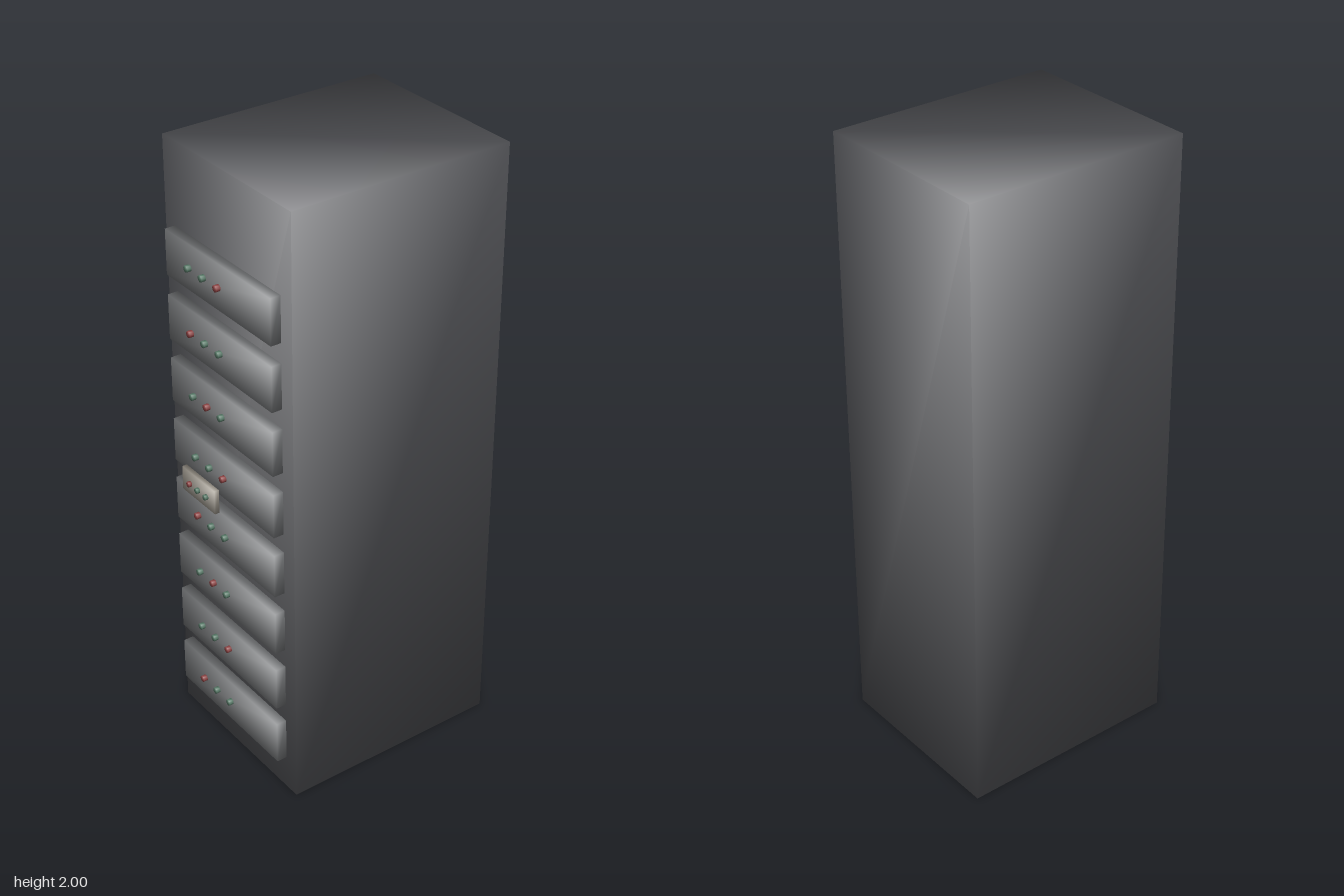
import * as THREE from 'three';
import { mergeVertices } from 'three/addons/utils/BufferGeometryUtils.js';

const mat = (color) => new THREE.MeshStandardMaterial({ color });

// Weld all corners so the normals blend across edges
function soften(geometry) {
  geometry.deleteAttribute('normal');
  geometry.deleteAttribute('uv');
  const g = mergeVertices(geometry);
  g.computeVertexNormals();
  return g;
}

// Box whose corner normals point diagonally outwards
function softBox(w, h, d) {
  const g = soften(new THREE.BoxGeometry(w, h, d));
  const p = g.attributes.position, n = g.attributes.normal;
  const s = 1 / Math.sqrt(3);
  for (let i = 0; i < p.count; i++) {
    n.setXYZ(i, Math.sign(p.getX(i)) * s, Math.sign(p.getY(i)) * s, Math.sign(p.getZ(i)) * s);
  }
  return g;
}

function add(parent, name, geometry, material, x, y, z) {
  const mesh = new THREE.Mesh(geometry, material);
  mesh.name = name;
  mesh.position.set(x, y, z);
  parent.add(mesh);
  return mesh;
}

export function createModel() {
  const model = new THREE.Group();
  model.name = 'serverRack';

  const cabinetMat = mat(0x55565a);
  const panelMat = mat(0x7a7c7e);
  const plateMat = mat(0xa19b90);
  const redMat = mat(0x8e4444);
  const greenMat = mat(0x587a68);

  // Cabinet
  add(model, 'cabinet', softBox(0.616, 2, 0.742), cabinetMat, 0, 1, -0.039);

  // Row of three indicator lights, one of them red
  function lightRow(parent, geometry, xs, y, z, redIndex) {
    xs.forEach((x, k) =>
      add(parent, 'indicatorLight', geometry, k === redIndex ? redMat : greenMat, x, y, z));
  }
  const lightGeo = (radius, depth) =>
    soften(new THREE.CylinderGeometry(radius, radius, depth, 12).rotateX(Math.PI / 2));

  // Stacked server units
  const panelGeo = softBox(0.518, 0.146, 0.034);
  const bigLight = lightGeo(0.0105, 0.016);
  for (let i = 0; i < 8; i++) {
    const unit = new THREE.Group();
    unit.name = 'serverUnit';
    unit.position.y = 0.193 + i * 0.21;
    add(unit, 'unitPanel', panelGeo, panelMat, -0.001, 0, 0.35);
    lightRow(unit, bigLight, [-0.137, -0.064, 0.009], 0, 0.373, (3 - (i % 3)) % 3);
    model.add(unit);
  }

  // Small control plate in front of the units
  const control = new THREE.Group();
  control.name = 'controlPlate';
  add(control, 'plate', softBox(0.172, 0.08, 0.016), plateMat, -0.084, 0.955, 0.392);
  lightRow(control, lightGeo(0.009, 0.01), [-0.127, -0.084, -0.04], 0.955, 0.405, 0);
  model.add(control);

  return model;
}
